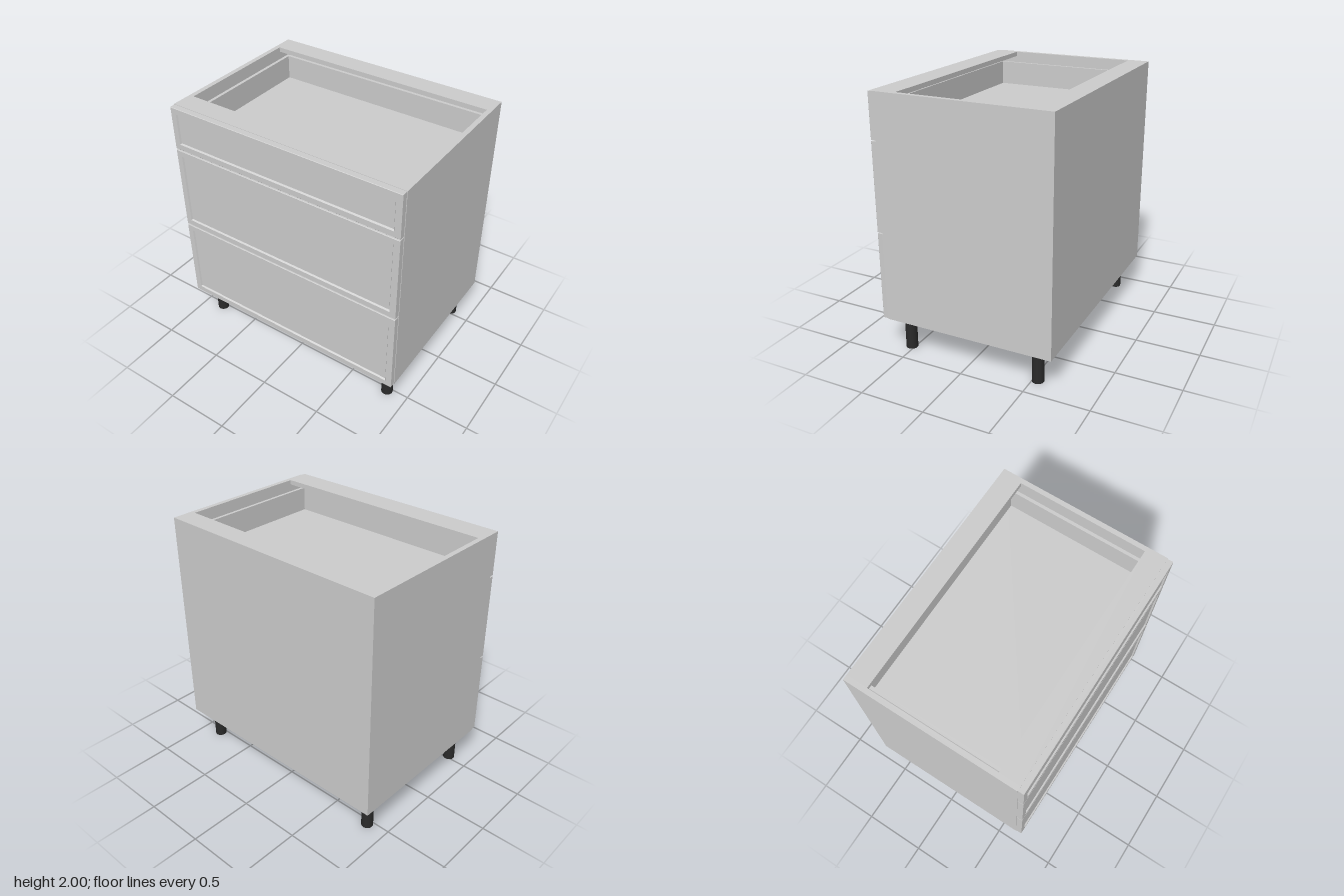
import * as THREE from 'three';

const grey = new THREE.MeshStandardMaterial({ color: 0xcccccc });
const dark = new THREE.MeshStandardMaterial({ color: 0x2a2a2a });

// Box given by its min and max along each axis
function box(parent, name, [x0, x1], [y0, y1], [z0, z1]) {
  const mesh = new THREE.Mesh(new THREE.BoxGeometry(x1 - x0, y1 - y0, z1 - z0), grey);
  mesh.position.set((x0 + x1) / 2, (y0 + y1) / 2, (z0 + z1) / 2);
  mesh.name = name;
  parent.add(mesh);
}

// Framed front panel: rectangular rings [inset, z] joined from back to recessed centre
function framedPanel(w, h, rings) {
  const ring = ([inset, z]) => {
    const a = w / 2 - inset, b = h / 2 - inset;
    return [[-a, -b, z], [a, -b, z], [a, b, z], [-a, b, z]];
  };
  const pos = [];
  const quad = (a, b, c, d) => pos.push(...a, ...b, ...c, ...a, ...c, ...d);
  const loops = rings.map(ring);
  for (let i = 0; i < loops.length - 1; i++) {
    for (let k = 0; k < 4; k++) {
      const n = (k + 1) % 4;
      quad(loops[i][k], loops[i][n], loops[i + 1][n], loops[i + 1][k]);
    }
  }
  quad(...loops[loops.length - 1]);
  quad(...[...loops[0]].reverse());
  const geo = new THREE.BufferGeometry();
  geo.setAttribute('position', new THREE.Float32BufferAttribute(pos, 3));
  geo.computeVertexNormals();
  return geo;
}

export function createModel() {
  const model = new THREE.Group();
  model.name = 'drawerCabinet';
  const W = 0.953, IN = 0.915, Y0 = 0.267, BACK = -0.69, FACE = 0.645;

  // Carcass
  const carcass = new THREE.Group();
  carcass.name = 'carcass';
  model.add(carcass);
  box(carcass, 'rightSide', [-W, -IN], [Y0, 2], [BACK, FACE]);
  box(carcass, 'leftSide', [IN, W], [Y0, 2], [BACK, FACE]);
  box(carcass, 'bottomPanel', [-IN, IN], [Y0, 0.305], [BACK, FACE]);
  box(carcass, 'backPanel', [-IN, IN], [0.305, 1.963], [BACK, -0.655]);
  box(carcass, 'backRail', [-IN, IN], [1.963, 2], [BACK, -0.525]);
  box(carcass, 'frontRail', [-IN, IN], [1.963, 2], [0.485, FACE]);

  // Drawers: front bottom, front top, box floor, box top
  const drawers = [
    [0.27, 0.955, 0.36, 0.75],
    [0.965, 1.645, 1.05, 1.43],
    [1.655, 1.997, 1.725, 1.915],
  ];
  for (const [y0, y1, floor, top] of drawers) {
    const drawer = new THREE.Group();
    drawer.name = 'drawer';
    model.add(drawer);

    const front = new THREE.Mesh(framedPanel(1.898, y1 - y0, [
      [0, 0], [0, 0.042], [0.003, 0.045], [0.047, 0.045], [0.055, 0.033],
    ]), grey);
    front.position.set(0, (y0 + y1) / 2, FACE);
    front.name = 'drawerFront';
    drawer.add(front);

    box(drawer, 'drawerFloor', [-0.87, 0.87], [floor - 0.025, floor], [-0.605, FACE]);
    box(drawer, 'drawerBack', [-0.87, 0.87], [floor, top], [-0.605, -0.58]);
    box(drawer, 'drawerInnerFront', [-0.87, 0.87], [floor, top], [0.6, FACE]);
    box(drawer, 'drawerRightSide', [-0.895, -0.87], [floor - 0.025, top], [-0.605, FACE]);
    box(drawer, 'drawerLeftSide', [0.87, 0.895], [floor - 0.025, top], [-0.605, FACE]);
  }

  // Legs
  const legGeo = new THREE.CylinderGeometry(0.045, 0.045, Y0, 32);
  for (const x of [-0.832, 0.832]) {
    for (const z of [-0.54, 0.525]) {
      const leg = new THREE.Mesh(legGeo, dark);
      leg.position.set(x, Y0 / 2, z);
      leg.name = 'leg';
      model.add(leg);
    }
  }
  return model;
}
